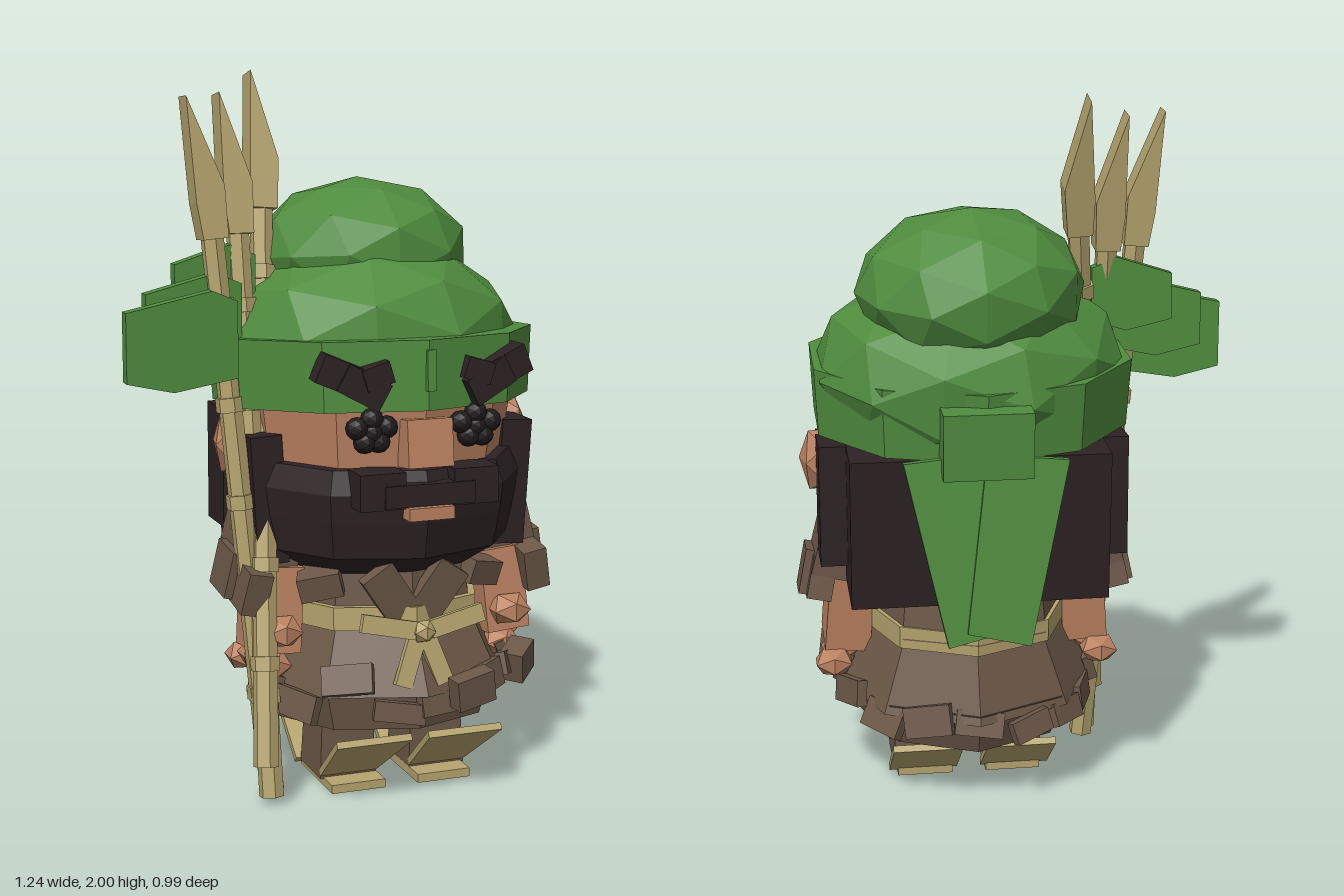
import * as THREE from 'three';

const mat = (name, color, side = THREE.FrontSide) => {
  const m = new THREE.MeshStandardMaterial({ color, flatShading: true, side });
  m.name = name;
  return m;
};

export function createModel() {
  const green = mat('green cloth', 0x4f8c3e);
  const skin = mat('skin', 0xbb8261);
  const hair = mat('dark hair', 0x2c2123, THREE.DoubleSide);
  const black = mat('eye black', 0x1e1a1b);
  const brown = mat('brown cloth', 0x6b5747);
  const straw = mat('straw', 0xb5a46e);

  const model = new THREE.Group();
  const body = new THREE.Group();
  body.name = 'figure';
  body.position.x = 0.135; // the figure's own centre line
  model.add(body);

  const add = (name, geo, m, p = [0, 0, 0], r = [0, 0, 0], parent = body) => {
    const mesh = new THREE.Mesh(geo, m);
    mesh.name = name;
    mesh.position.set(...p);
    mesh.rotation.set(...r);
    parent.add(mesh);
    return mesh;
  };
  const box = (name, m, size, p, r, parent) => add(name, new THREE.BoxGeometry(...size), m, p, r, parent);
  const ball = (name, m, size, p, detail = 1, r) =>
    add(name, new THREE.IcosahedronGeometry(1, detail).scale(...size), m, p, r);
  const drum = (name, m, rt, rb, h, p, r, n = 10, sx = 1) =>
    add(name, new THREE.CylinderGeometry(rt, rb, h, n).scale(sx, 1, 1), m, p, r);
  const plate = (name, m, pts, depth, p, r, parent) => {
    const g = new THREE.ExtrudeGeometry(new THREE.Shape(pts.map(q => new THREE.Vector2(...q))),
      { depth, bevelEnabled: false }).translate(0, 0, -depth / 2);
    return add(name, g, m, p, r, parent);
  };
  const sides = fn => [-1, 1].forEach(fn);
  let seed = 7;
  const rnd = () => ((seed = (seed * 16807) % 2147483647) / 2147483647) - 0.5;

  // Hat: band and two stacked bundles of cloth
  drum('hatBand', green, 0.44, 0.43, 0.19, [-0.005, 1.18, 0.005], [-0.06, 0, 0], 10, 1.05);
  box('hatBandSeam', green, [0.025, 0.11, 0.03], [0, 1.22, 0.435], [-0.06, 0, 0]);
  ball('hatLowerBundle', green, [0.445, 0.28, 0.415], [-0.005, 1.25, -0.03], 1, [-0.12, 0.3, 0]);
  ball('hatUpperBundle', green, [0.325, 0.222, 0.31], [0, 1.475, -0.1], 1, [-0.1, 0.6, 0]);

  // Knot and hanging ends at the back
  box('hatKnot', green, [0.24, 0.18, 0.11], [0, 1.125, -0.43], [-0.06, 0, 0]);
  sides(s => {
    const pts = [[0.22, 0], [0, 0.02], [-0.06, -0.46], [0.11, -0.5]].map(([x, y]) => [x * s, y]);
    plate('hatTail', green, pts, 0.035, [0, 1.07, -0.425 + s * 0.006], [0.11, 0, 0]);
  });

  // Layered flaps on the right side of the hat
  [[-0.62, -0.31, 1.15, 1.37, 0.14], [-0.55, -0.28, 1.23, 1.41, 0.08], [-0.45, -0.22, 1.32, 1.48, 0.015]]
    .forEach(([x0, x1, y0, y1, z]) =>
      plate('hatFlap', green, [[x0, y1], [x0, y0 + 0.03], [x0 + 0.13, y0], [x1, y0 + 0.03], [x1, y1 + 0.02], [x1 - 0.07, y1 + 0.05]],
        0.04, [0, 0, z], [0, 0, 0], model));

  // Head, nose, lip and ears
  drum('head', skin, 0.4, 0.335, 0.46, [0, 0.94, 0.02]);
  box('nose', skin, [0.13, 0.13, 0.08], [0, 1.02, 0.405], [-0.12, 0, 0]);
  box('lip', skin, [0.13, 0.035, 0.05], [0, 0.835, 0.435]);
  sides(s => ball('ear', skin, [0.055, 0.1, 0.08], [s * 0.42, 0.975, 0.005], 0, [0, 0.2 * s, 0]));

  // Beard, moustache and hair
  const beard = [[0, 0.625], [0.3, 0.635], [0.4, 0.7], [0.42, 0.8], [0.43, 0.88], [0.405, 0.945], [0.3, 0.95]];
  add('beard', new THREE.LatheGeometry(beard.map(q => new THREE.Vector2(...q)), 4, -Math.PI * 0.4, Math.PI * 0.8), hair, [0, 0, 0.01]);
  box('moustacheMiddle', hair, [0.26, 0.06, 0.08], [0, 0.885, 0.41]);
  sides(s => {
    box('moustacheEnd', hair, [0.13, 0.1, 0.1], [s * 0.135, 0.9, 0.395]);
    box('sideburn', hair, [0.09, 0.36, 0.15], [s * 0.365, 0.84, 0.11], [0, 0, s * -0.06]);
    box('sideHair', hair, [0.1, 0.34, 0.15], [s * 0.38, 0.89, -0.115]);
  });
  box('backHair', hair, [0.71, 0.42, 0.23], [0, 0.85, -0.21], [-0.06, 0, 0]);

  // Eyes made of small beads, with blocky brows
  sides(s => {
    [[0, 0], [-0.042, 0.012], [0.042, 0.012], [0.02, -0.026], [-0.02, -0.026], [0, 0.035]].forEach(([x, y]) =>
      ball('eye', black, [0.032, 0.032, 0.032], [s * 0.15 + x, 1.055 + y, 0.395], 1));
    box('browMiddle', hair, [0.13, 0.08, 0.06], [s * 0.18, 1.18, 0.4], [0, s * 0.1, s * 0.5]);
    box('browOuter', hair, [0.11, 0.08, 0.07], [s * 0.245, 1.215, 0.38], [0, s * 0.1, s * 0.4]);
    box('browInner', hair, [0.08, 0.06, 0.05], [s * 0.145, 1.21, 0.41], [0, 0, s * -0.3]);
  });

  // Coat: chest, belt, skirt in two tiers
  drum('chest', brown, 0.26, 0.29, 0.24, [0, 0.6, 0.05], [0, 0, 0], 8);
  drum('belt', straw, 0.3, 0.3, 0.065, [0, 0.5, 0.06], [-0.06, 0, 0], 8);
  drum('skirtUpper', brown, 0.28, 0.37, 0.2, [0, 0.39, 0.07], [-0.08, 0, 0], 8);
  drum('skirtLower', brown, 0.35, 0.31, 0.13, [0, 0.25, 0.07], [-0.08, 0, 0], 8);
  sides(s => {
    box('lapel', brown, [0.1, 0.16, 0.04], [s * 0.07, 0.59, 0.33], [0.1, 0, s * -0.6]);
    box('shoulderCloth', brown, [0.12, 0.07, 0.1], [s * 0.23, 0.61, 0.22], [0.2, s * 0.4, s * -0.3]);
  });
  // Ragged flat patches along the hem
  for (let i = 0; i < 15; i++) {
    const a = ((i + 0.5) / 15) * Math.PI * 2, R = 0.35 + rnd() * 0.03;
    box('hemPatch', brown, [0.15 + rnd() * 0.06, 0.07 + rnd() * 0.04, 0.03],
      [Math.sin(a) * R, 0.29 + Math.cos(a) * 0.035 + rnd() * 0.12, 0.08 + Math.cos(a) * R], [-0.3 + rnd() * 0.4, a, rnd() * 0.5, 'YXZ']);
  }
  box('frontPatch', brown, [0.12, 0.09, 0.05], [0.13, 0.33, 0.445], [0.1, 0.2, 0.15]);
  box('sidePatch', brown, [0.1, 0.09, 0.07], [0.36, 0.33, 0.24], [0.1, 0.8, 0.2]);
  box('backPouch', brown, [0.11, 0.1, 0.06], [0, 0.58, -0.23]);

  // Belt bow
  ball('bowKnot', straw, [0.035, 0.035, 0.035], [0, 0.495, 0.405], 0);
  [[-0.1, 0.515, 1.35], [0.1, 0.515, -1.35], [0.035, 0.42, 0.35], [-0.035, 0.42, -0.35]].forEach(([x, y, r]) =>
    box('bowRibbon', straw, [0.05, 0.16, 0.02], [x, y, 0.4], [-0.15, 0, r]));

  // Arms with layered sleeves and knuckled hands
  sides(s => {
    box('sleeve', brown, [0.17, 0.15, 0.2], [s * 0.35, 0.7, 0.06], [0, 0, s * 0.25]);
    box('cuff', brown, [0.07, 0.12, 0.28], [s * 0.42, 0.61, 0.1], [0.15, 0, s * 0.2]);
    box('cuffFlap', brown, [0.05, 0.13, 0.14], [s * 0.45, 0.63, 0.08], [0.1, 0, s * 0.2]);
    box('forearm', skin, [0.13, 0.24, 0.19], [s * 0.34, 0.52, 0.1], [-0.1, 0, s * 0.08]);
    [[0.37, 0.38, 0.08], [0.39, 0.36, 0.02], [0.35, 0.36, 0.14]].forEach(p =>
      ball('finger', skin, [0.06, 0.045, 0.06], [p[0] * s, p[1], p[2]], 0));
    ball('thumb', skin, [0.065, 0.05, 0.065], [s * 0.345, 0.475, 0.21], 0);
  });

  // Legs and straw sandals with plates sloping up at toe and heel
  sides(s => {
    drum('leg', brown, 0.1, 0.12, 0.3, [s * 0.135, 0.17, 0.1], [0, Math.PI / 4, 0], 4);
    box('sole', straw, [0.16, 0.025, 0.26], [s * 0.13, 0.0125, 0.125]);
    plate('toePlate', straw, [[-0.085, -0.13], [0.085, -0.13], [0.11, 0.13], [-0.11, 0.13]], 0.02,
      [s * 0.135, 0.115, 0.285], [Math.PI / 2 - 0.63, 0, 0]);
    box('heelPlate', straw, [0.2, 0.02, 0.21], [s * 0.135, 0.085, -0.07], [0.65, 0, 0]);
  });

  // Three bamboo spears with slanted chisel tips
  const spears = [
    [[-0.235, 0.02, 0.2], [-0.39, 1.94, 0.06]],
    [[-0.255, 0.02, 0.26], [-0.265, 1.94, -0.05]],
    [[-0.29, 0.13, 0.32], [-0.14, 1.99, -0.16]],
  ];
  const up = new THREE.Vector3(0, 1, 0);
  spears.forEach(([a, b]) => {
    const g = new THREE.Group();
    g.name = 'spear';
    const from = new THREE.Vector3(...a), dir = new THREE.Vector3(...b).sub(from), L = dir.length();
    g.position.copy(from);
    g.quaternion.setFromUnitVectors(up, dir.normalize());
    model.add(g);
    const shaft = L - 0.36;
    add('spearShaft', new THREE.CylinderGeometry(0.032, 0.035, shaft, 6), straw, [0, shaft / 2, 0], [0, 0, 0], g);
    for (let y = 0.28; y < shaft; y += 0.27)
      add('spearJoint', new THREE.CylinderGeometry(0.041, 0.041, 0.04, 6), straw, [0, y, 0], [0, 0, 0], g);
    plate('spearTip', straw, [[-0.034, 0], [0.036, 0], [0.04, 0.14], [-0.04, 0.385], [-0.043, 0.1]], 0.075, [0, shaft - 0.03, 0], [0, 0, 0], g);
  });

  return model;
}
